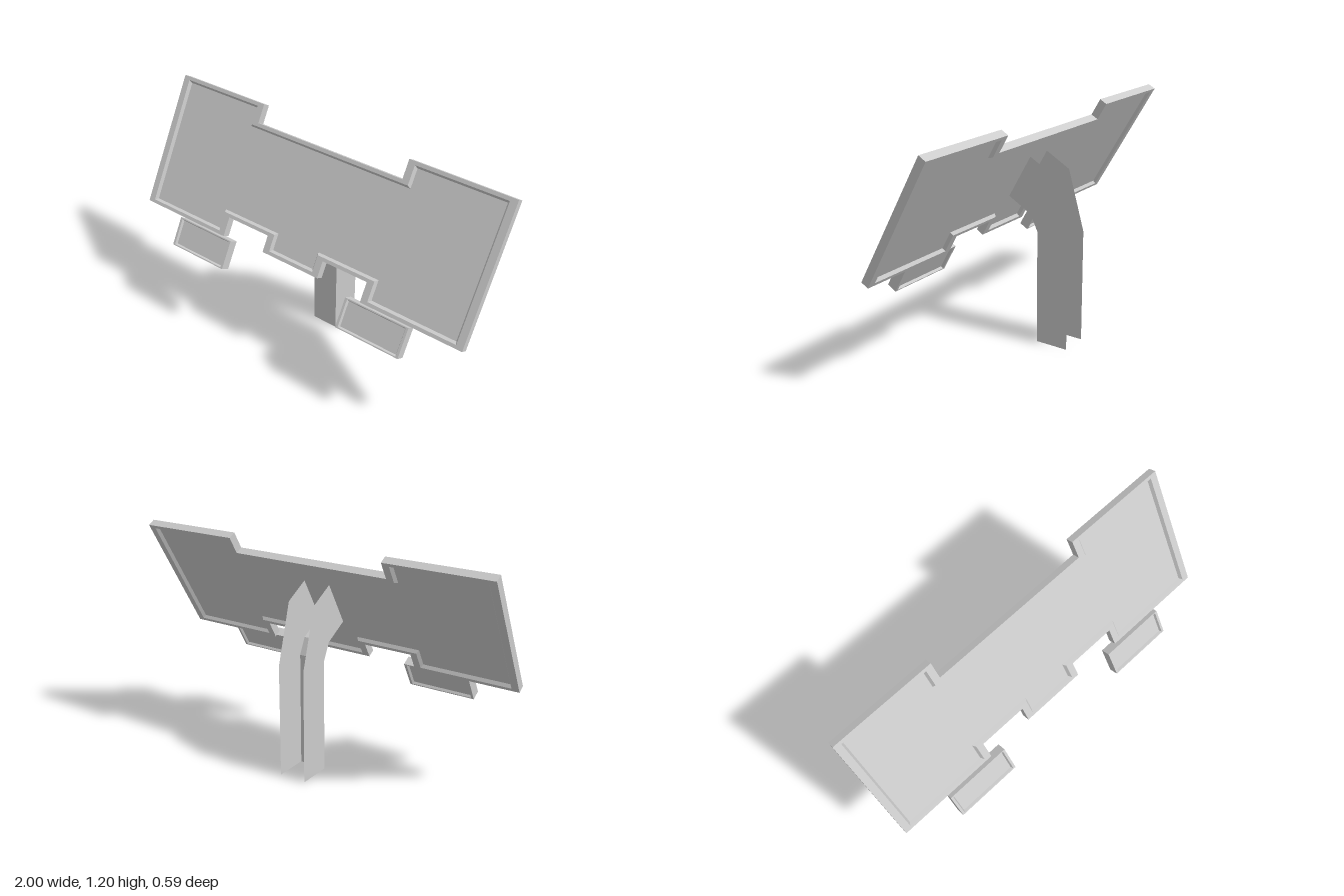
import * as THREE from 'three';
import { mergeGeometries } from 'three/addons/utils/BufferGeometryUtils.js';

const material = new THREE.MeshStandardMaterial({ color: 0xcccccc, flatShading: true, side: THREE.DoubleSide });

// Quads between successive loops of [x, y, z] points
function bands(loops, closed) {
  const out = [];
  for (let k = 0; k + 1 < loops.length; k++) {
    const a = loops[k], b = loops[k + 1], n = a.length;
    for (let i = 0; i < (closed ? n : n - 1); i++) {
      const j = (i + 1) % n;
      out.push(...a[i], ...a[j], ...b[j], ...a[i], ...b[j], ...b[i]);
    }
  }
  const geo = new THREE.BufferGeometry();
  geo.setAttribute('position', new THREE.Float32BufferAttribute(out, 3));
  geo.computeVertexNormals();
  return geo;
}

function face(points) {
  const geo = new THREE.ShapeGeometry(new THREE.Shape(points.map(p => new THREE.Vector2(...p)))).toNonIndexed();
  geo.deleteAttribute('uv');
  return geo;
}

// Moves every edge of a counter-clockwise right-angled outline inward
function inset(points, dx, dy) {
  const n = points.length;
  return points.map((p, i) => {
    const prev = points[(i + n - 1) % n], next = points[(i + 1) % n];
    let [x, y] = p;
    for (const [s, e] of [[prev, p], [p, next]]) {
      x -= Math.sign(Math.round((e[1] - s[1]) * 1e4)) * dx;
      y += Math.sign(Math.round((e[0] - s[0]) * 1e4)) * dy;
    }
    return [x, y];
  });
}

// Plate with a raised rim and a bevelled recess on both faces
function rimmedPlate(name, outline, back, front, rimX, rimY, bevel, depth) {
  const mid = (back + front) / 2, half = (front - back) / 2;
  const lip = inset(outline, rimX, rimY);
  const panel = inset(outline, rimX + bevel, rimY + bevel);
  const at = (pts, z) => pts.map(([x, y]) => [x, y, z]);
  const shell = bands([
    at(panel, -half + depth), at(lip, -half), at(outline, -half),
    at(outline, half), at(lip, half), at(panel, half - depth),
  ], true);
  const geo = mergeGeometries([
    shell,
    face(panel).translate(0, 0, half - depth),
    face(panel).rotateY(Math.PI).translate(0, 0, -half + depth),
  ]);
  const mesh = new THREE.Mesh(geo, material);
  mesh.name = name;
  mesh.position.z = mid;
  return mesh;
}

function createPost() {
  const post = new THREE.Group();
  post.name = 'post';
  const w = 0.074;
  // [z, y] points: front edge upwards, then down the back edge
  const frontEdge = [[-0.115, 0], [-0.115, 0.605], [-0.075, 0.69], [0.043, 0.757], [0.057, 0.765]];
  const backEdge = [[-0.071, 0.988], [-0.085, 0.98], [-0.205, 0.912], [-0.295, 0.6], [-0.295, 0]];
  for (const side of [1, -1]) {
    const cheek = new THREE.Mesh(face([...frontEdge, ...backEdge]).rotateY(-Math.PI / 2), material);
    cheek.position.x = side * w;
    cheek.name = side > 0 ? 'leftPostSide' : 'rightPostSide';
    post.add(cheek);
  }
  // Folded front sheet; the channel stays open at the back and bottom
  const edge = x => frontEdge.map(([z, y]) => [x, y, z]);
  const sheet = new THREE.Mesh(bands([edge(w), edge(-w)], false), material);
  sheet.name = 'postFront';
  post.add(sheet);
  return post;
}

export function createModel() {
  const model = new THREE.Group();
  model.name = 'tiltedBoardOnPost';
  model.add(createPost());

  // Everything on the sloping plane
  const tilted = new THREE.Group();
  tilted.name = 'tiltedBoard';
  tilted.rotation.x = -Math.PI / 6;
  model.add(tilted);

  // Main board: two wings, a lowered middle and a small bottom tab
  const half = [
    [0.176, 0.415], [0.176, 0.505], [0.44, 0.505], [0.44, 0.4],
    [1, 0.4], [1, 1.122], [0.44, 1.122], [0.44, 1.022],
  ];
  const outline = [...half, ...half.map(([x, y]) => [-x, y]).reverse()];
  tilted.add(rimmedPlate('board', outline, 0.415, 0.458, 0.037, 0.018, 0.011, 0.016));

  // Small plates hanging below the wings
  const small = [[-0.18, 0.241], [0.18, 0.241], [0.18, 0.398], [-0.18, 0.398]];
  for (const side of [1, -1]) {
    const name = side > 0 ? 'leftLowerPlate' : 'rightLowerPlate';
    const plate = rimmedPlate(name, small, 0.429, 0.482, 0.013, 0.006, 0.006, 0.012);
    plate.position.x = side * 0.55;
    tilted.add(plate);
  }
  return model;
}
